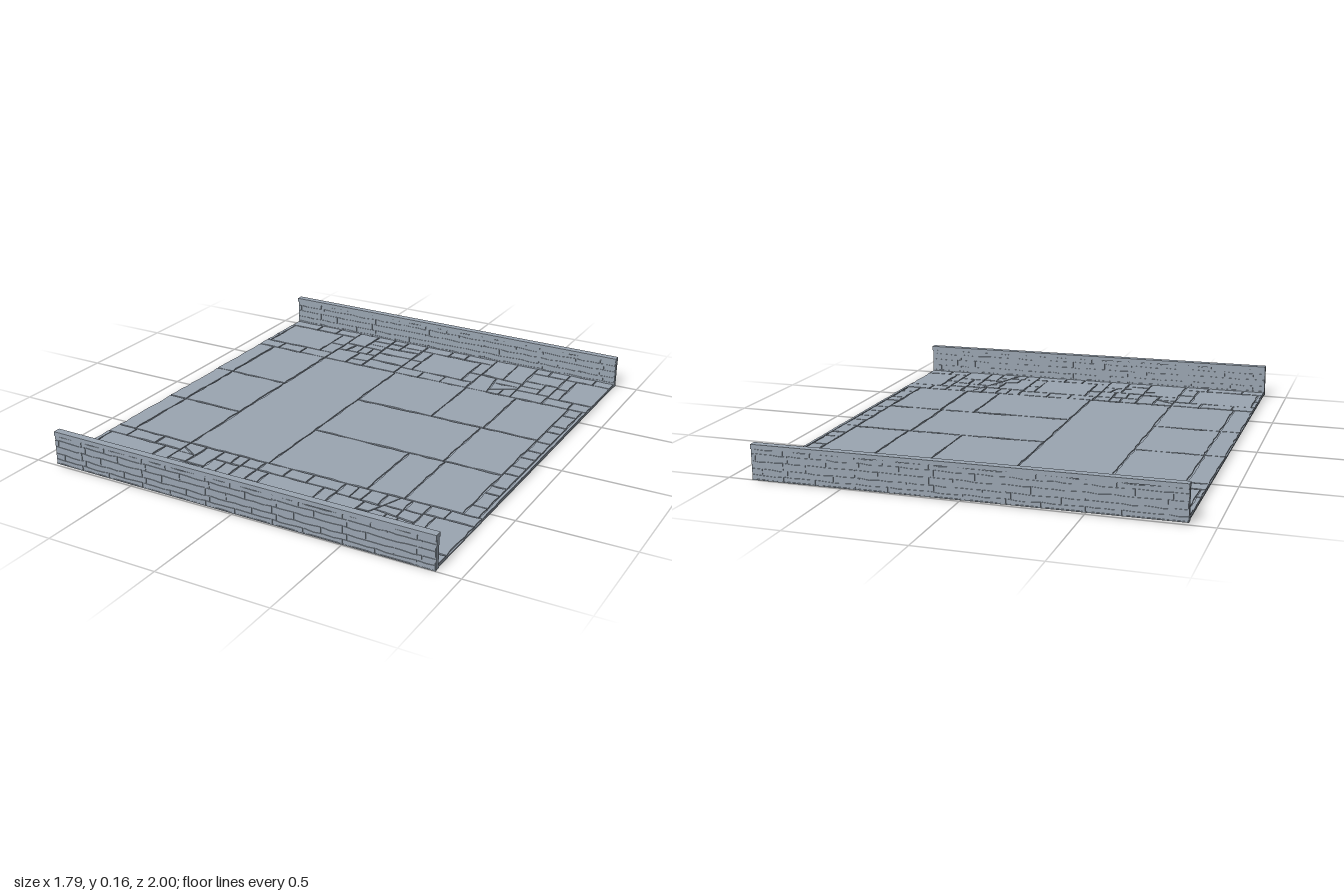
import * as THREE from 'three';
import { mergeGeometries } from 'three/addons/utils/BufferGeometryUtils.js';

const W = 0.895;

export function createModel() {
  const stone = new THREE.MeshStandardMaterial({ color: 0x9aa5b1 });
  stone.name = 'blue grey stone';

  let seed = 11;
  const rnd = () => {
    seed = (seed * 16807) % 2147483647;
    return seed / 2147483647;
  };

  // The whole floor leans very slightly towards +x
  const group = new THREE.Group();
  group.name = 'stoneFloorSection';
  const tilt = new THREE.Group();
  tilt.name = 'tiltedSection';
  tilt.rotation.z = -0.0045;
  group.add(tilt);

  const add = (geo, name) => {
    const m = new THREE.Mesh(geo, stone);
    m.name = name;
    tilt.add(m);
  };
  const box = (name, w, h, d, x, y, z) =>
    add(new THREE.BoxGeometry(w, h, d).translate(x, y, z), name);

  // A hewn stone: its edges are chipped inwards by uneven amounts
  function hewn(poly, depth, chip, step) {
    const cx = poly.reduce((s, p) => s + p[0], 0) / poly.length;
    const cy = poly.reduce((s, p) => s + p[1], 0) / poly.length;
    const pts = [];
    poly.forEach((a, i) => {
      const b = poly[(i + 1) % poly.length];
      const dx = b[0] - a[0], dy = b[1] - a[1], len = Math.hypot(dx, dy);
      if (len < 1e-4) return;
      let nx = -dy / len, ny = dx / len;
      if (nx * (cx - a[0]) + ny * (cy - a[1]) < 0) { nx = -nx; ny = -ny; }
      const n = Math.max(1, Math.round(len / step));
      for (let k = 0; k < n; k++) {
        const t = k / n, c = k ? 0.0012 + chip * rnd() ** 1.5 : 0;
        let x = a[0] + dx * t + nx * c, y = a[1] + dy * t + ny * c;
        if (!k) { // pull corners towards the middle
          const l = Math.hypot(cx - x, cy - y) || 1;
          x += ((cx - x) / l) * chip * 0.6;
          y += ((cy - y) / l) * chip * 0.6;
        }
        pts.push(new THREE.Vector2(x, y));
      }
    });
    return new THREE.ExtrudeGeometry(new THREE.Shape(pts), { depth, bevelEnabled: false });
  }
  const rect = (x0, x1, y0, y1) => [[x0, y0], [x1, y0], [x1, y1], [x0, y1]];

  // Part of a convex polygon where nx*x + ny*y <= d
  function clip(poly, nx, ny, d) {
    const out = [];
    poly.forEach((a, i) => {
      const b = poly[(i + 1) % poly.length];
      const da = nx * a[0] + ny * a[1] - d, db = nx * b[0] + ny * b[1] - d;
      if (da <= 0) out.push(a);
      if (da * db < 0) {
        const t = da / (da - db);
        out.push([a[0] + (b[0] - a[0]) * t, a[1] + (b[1] - a[1]) * t]);
      }
    });
    return out;
  }

  // Floor slab under the stones
  box('floorSlab', 2 * W, 0.007, 1.98, 0, 0.0145, 0);

  const floor = [];
  const layPoly = (poly, chip = 0.007) => {
    if (poly.length < 3) return;
    const g = hewn(poly.map(([x, z]) => [x, -z]), 0.005 + rnd() * 0.001, chip, 0.045);
    floor.push(g.rotateX(-Math.PI / 2).translate(0, 0.0178, 0));
  };
  const lay = (x0, x1, z0, z1, chip) =>
    layPoly(rect(x0, x1, Math.min(z0, z1), Math.max(z0, z1)), chip);

  // A run of small stones along x or z
  function run(x0, x1, z0, z1, size) {
    const alongX = x1 - x0 > Math.abs(z1 - z0);
    const [a, b] = alongX ? [x0, x1] : [z0, z1];
    const n = Math.max(1, Math.round(Math.abs(b - a) / size));
    let p = a;
    for (let i = 1; i <= n; i++) {
      const q = i === n ? b : a + ((b - a) * (i + (rnd() - 0.5) * 0.5)) / n;
      if (alongX) lay(p, q, z0, z1, 0.006);
      else lay(x0, x1, p, q, 0.006);
      p = q;
    }
  }

  // Irregular rubble made by repeated, sometimes slanted, cuts
  function rubble(poly, depth) {
    const xs = poly.map((p) => p[0]), zs = poly.map((p) => p[1]);
    const w = Math.max(...xs) - Math.min(...xs), h = Math.max(...zs) - Math.min(...zs);
    if (poly.length < 3) return;
    if (!depth || Math.max(w, h) < 0.1 || (depth < 3 && rnd() < 0.25)) {
      layPoly(poly);
      return;
    }
    const slant = rnd() < 0.2 ? (rnd() - 0.5) * 1.2 : (rnd() - 0.5) * 0.08;
    const ang = (w > h ? 0 : Math.PI / 2) + slant;
    const nx = Math.cos(ang), nz = Math.sin(ang);
    const cx = Math.min(...xs) + w * (0.36 + rnd() * 0.28);
    const cz = Math.min(...zs) + h * (0.36 + rnd() * 0.28);
    const d = nx * cx + nz * cz;
    rubble(clip(poly, nx, nz, d), depth - 1);
    rubble(clip(poly, -nx, -nz, -d), depth - 1);
  }

  // Large middle slabs: x0, x1, z0, z1
  [
    [-0.5, -0.095, -0.58, 0.58],
    [-0.095, 0.29, -0.58, -0.195], [0.29, 0.55, -0.58, -0.195], [0.55, 0.81, -0.58, -0.195],
    [-0.095, 0.54, -0.195, 0.195], [0.54, 0.81, -0.195, 0.195],
    [-0.095, 0.38, 0.195, 0.58], [0.38, 0.55, 0.195, 0.58], [0.55, 0.81, 0.195, 0.58],
  ].forEach((r) => lay(...r));
  // Left column of slabs with a narrow edge strip
  for (const [z0, z1] of [[-0.58, -0.195], [-0.195, 0.195], [0.195, 0.58]]) {
    lay(-W, -0.805, z0, z1);
    lay(-0.805, -0.5, z0, z1);
  }
  // Small stones along the right edge
  run(0.81, 0.878, -0.58, 0.58, 0.1);
  lay(0.878, W, -0.58, 0.58, 0.003);

  // Patterned bands beside both walls: framed slabs alternate with rubble
  for (const s of [-1, 1]) {
    const framed = (x0, x1, bx0, bx1) => {
      lay(bx0, bx1, s * 0.655, s * 0.905);
      run(x0, x1, s * 0.58, s * 0.655, 0.13);
      run(x0, x1, s * 0.905, s * 0.97, 0.13);
      run(x0, bx0, s * 0.655, s * 0.905, 0.12);
      if (x1 > bx1) run(bx1, x1, s * 0.655, s * 0.905, 0.12);
    };
    const z0 = s < 0 ? -0.97 : 0.58, z1 = z0 + 0.39;
    framed(-W, -0.5, -0.875, -0.575);
    rubble(rect(-0.5, -0.105, z0, z1), 5);
    framed(-0.105, 0.285, -0.045, 0.225);
    rubble(rect(0.285, 0.675, z0, z1), 5);
    framed(0.675, W, 0.73, W);
  }
  add(mergeGeometries(floor), 'floorStones');

  // Low brick walls along the front and back
  const rows = [0.009, 0.03, 0.056, 0.088, 0.118, 0.138];
  const splits = [0.14, 0.2, 0.1, 0.17, 0.12];
  for (const s of [-1, 1]) {
    const side = s > 0 ? 'front' : 'back';
    box(side + 'WallCore', 2 * W, 0.13, 0.021, 0, 0.074, s * 0.985);
    box(side + 'WallCap', 2 * W, 0.019, 0.034, 0, 0.1465, s * 0.983);
    box(side + 'WallFoot', 2 * W, 0.004, 0.028, 0, 0.008, s * 0.985);
    const bricks = [];
    for (const face of [-1, 1])
      for (let r = 0; r < 5; r++)
        for (let m = -1.065; m < W; m += 0.314) {
          const shift = (r % 2) * 0.02;
          const cuts = [m + shift, m + splits[r] + shift, m + 0.314 + shift];
          for (let k = 0; k < 2; k++) {
            const x0 = Math.max(-W, cuts[k]), x1 = Math.min(W, cuts[k + 1]);
            if (x1 - x0 < 0.015) continue;
            const g = hewn(rect(x0, x1, rows[r], rows[r + 1]), 0.003, 0.0045, 0.04);
            if (face < 0) g.rotateY(Math.PI);
            bricks.push(g.translate(0, 0, s * 0.985 + face * 0.0104));
          }
        }
    add(mergeGeometries(bricks), side + 'WallBricks');
  }
  return group;
}
